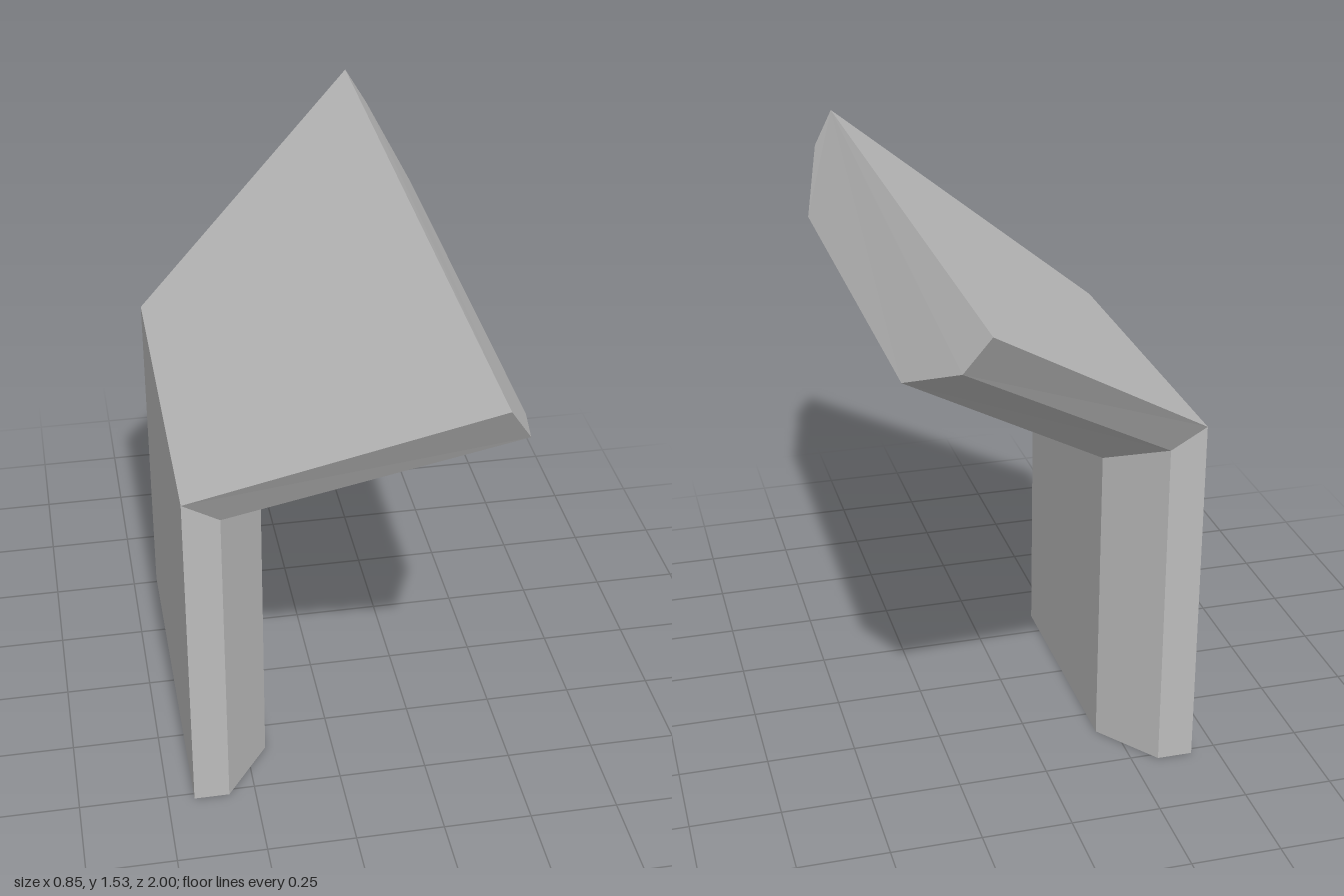
import * as THREE from 'three';

// Mirrors three [x, y, z] points across z = 0 to make a six-sided ring.
function ring(half) {
  return [...half, ...half.slice().reverse().map(([x, y, z]) => [x, y, -z])];
}

// Skins two rings, optionally closing the lower or upper end.
function loft(lower, upper, capLower, capUpper) {
  const n = lower.length;
  const index = [];
  for (let i = 0; i < n; i++) {
    const j = (i + 1) % n;
    const a = i, b = j, c = n + j, d = n + i;
    // Diagonals are mirrored from one side to the other
    if (i < n / 2) index.push(a, b, c, a, c, d);
    else index.push(a, b, d, b, c, d);
  }
  for (let i = 1; i < n - 1; i++) {
    if (capLower) index.push(0, i + 1, i);
    if (capUpper) index.push(n, n + i, n + i + 1);
  }
  const indexed = new THREE.BufferGeometry();
  indexed.setAttribute('position', new THREE.Float32BufferAttribute([...lower, ...upper].flat(), 3));
  indexed.setIndex(index);
  const geometry = indexed.toNonIndexed();
  geometry.computeVertexNormals();
  return geometry;
}

export function createModel() {
  const group = new THREE.Group();
  group.name = 'canopyPost';
  const grey = new THREE.MeshStandardMaterial({ color: 0xbcbcbc, flatShading: true });
  grey.name = 'plain grey';

  // Base, mitred bend and flared end
  const base = ring([[-0.425, 0, 0.52], [-0.325, 0, 0.52], [-0.195, 0, 0.345]]);
  const bend = ring([[-0.425, 1.022, 0.52], [-0.325, 0.965, 0.52], [-0.195, 0.88, 0.345]]);
  const tip = ring([[0.283, 1.53, 1], [0.344, 1.432, 0.962], [0.422, 1.298, 0.663]]);

  const post = new THREE.Mesh(loft(base, bend, true, false), grey);
  post.name = 'post';
  const canopy = new THREE.Mesh(loft(bend, tip, false, true), grey);
  canopy.name = 'canopy';
  group.add(post, canopy);
  return group;
}
